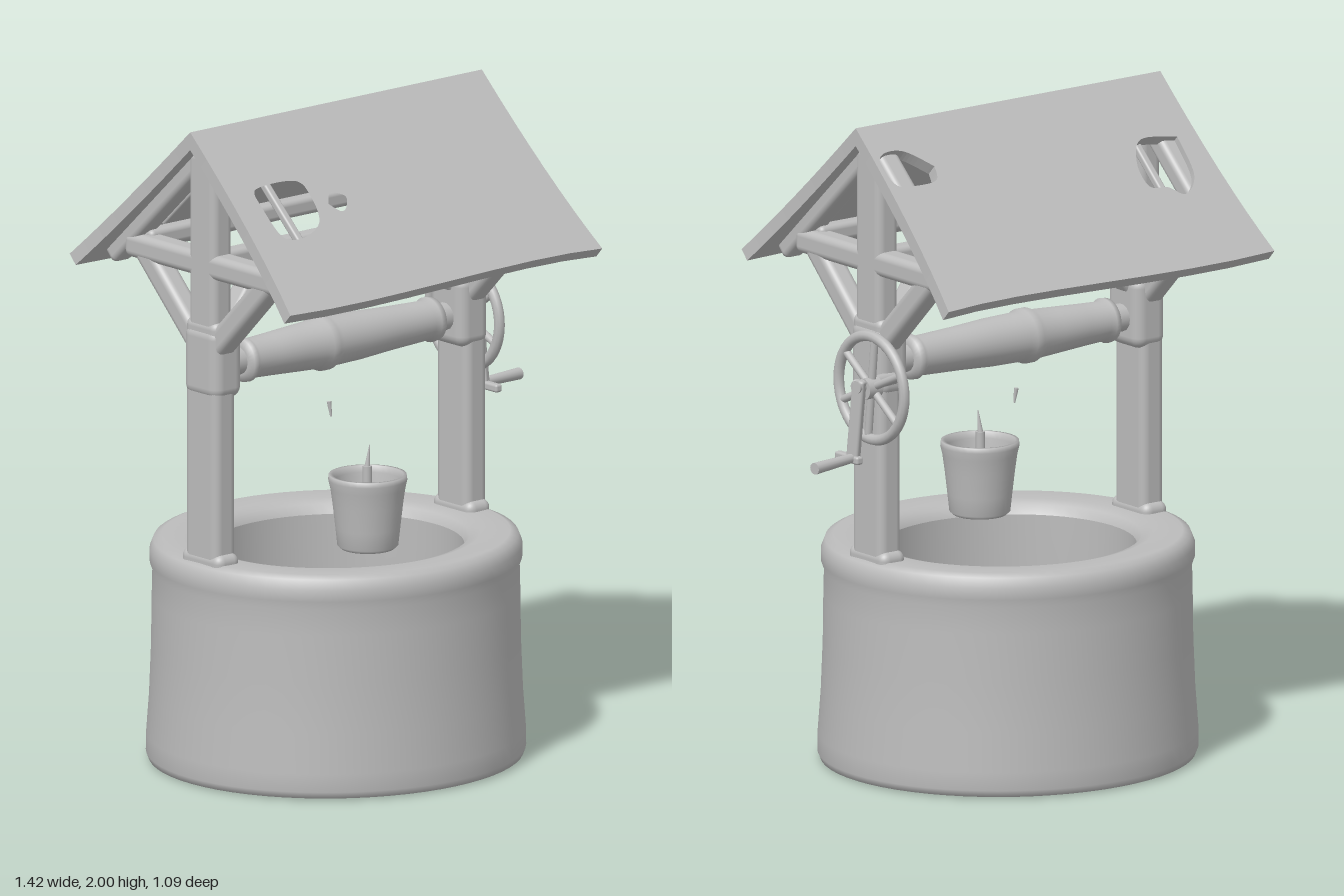
import * as THREE from 'three';
import { RoundedBoxGeometry } from 'three/addons/geometries/RoundedBoxGeometry.js';

export function createModel() {
  const model = new THREE.Group();
  const stone = new THREE.MeshStandardMaterial({ color: 0xbcbcbc });
  stone.name = 'plain grey';
  const V = (x, y, z) => new THREE.Vector3(x, y, z);
  const UP = V(0, 1, 0);

  function add(name, geometry, parent = model) {
    const mesh = new THREE.Mesh(geometry, stone);
    mesh.name = name;
    parent.add(mesh);
    return mesh;
  }
  // Place a y-aligned piece between two points
  function span(mesh, a, b) {
    mesh.position.copy(a).lerp(b, 0.5);
    mesh.quaternion.setFromUnitVectors(UP, b.clone().sub(a).normalize());
    return mesh;
  }
  const beam = (name, a, b, w, d, parent) =>
    span(add(name, new RoundedBoxGeometry(w, a.distanceTo(b), d, 3, Math.min(w, d) * 0.3), parent), a, b);
  const rod = (name, a, b, r, parent, r2 = r) =>
    span(add(name, new THREE.CylinderGeometry(r2, r, a.distanceTo(b), 14), parent), a, b);
  // Smooth turned piece from a few [radius, height] points
  function turned(name, points, segments = 48) {
    return add(name, new THREE.LatheGeometry(points.map(([r, y]) => new THREE.Vector2(r, y)), segments));
  }

  // Well wall: an open stone ring with a soft lip
  const wall = turned('wellWall', [
    [0.39, 0.64], [0.39, 0.02], [0.4, 0.004], [0.42, 0], [0.55, 0], [0.57, 0.005], [0.578, 0.025], [0.577, 0.08],
    [0.568, 0.2], [0.562, 0.35], [0.56, 0.5], [0.558, 0.58], [0.567, 0.605], [0.567, 0.64],
    [0.555, 0.67], [0.53, 0.68], [0.44, 0.678], [0.405, 0.668], [0.39, 0.64],
  ], 64);
  wall.position.x = -0.095;
  wall.scale.z = 0.945;

  // Roof: two slabs with ragged holes, outlines given as [x, distance from ridge in z]
  const RIDGE = 2, RUN = 0.734, DROP = 0.679, LENGTH = 0.677, THICK = 0.04;
  const slopes = [
    { side: 1, holes: [
      [[-0.58, 0.21], [-0.56, 0.172], [-0.41, 0.172], [-0.385, 0.215], [-0.41, 0.285], [-0.5, 0.315], [-0.57, 0.3]],
      [[-0.34, 0.245], [-0.31, 0.22], [-0.265, 0.235], [-0.28, 0.26], [-0.31, 0.27]],
    ] },
    { side: -1, holes: [
      [[-0.6, 0.17], [-0.585, 0.27], [-0.52, 0.315], [-0.47, 0.29], [-0.41, 0.28], [-0.41, 0.22], [-0.47, 0.16]],
      [[0.285, 0.13], [0.305, 0.165], [0.38, 0.17], [0.45, 0.16], [0.465, 0.1], [0.43, 0.075], [0.36, 0.08]],
    ] },
  ];
  const roof = new THREE.Group();
  roof.name = 'roof';
  model.add(roof);
  for (const { side, holes } of slopes) {
    const shape = new THREE.Shape();
    shape.moveTo(-0.67 * side, 0);
    shape.lineTo(0.48 * side, 0);
    shape.quadraticCurveTo(0.478 * side, -LENGTH * 0.6, 0.52 * side, -LENGTH);
    shape.bezierCurveTo(0.2 * side, -LENGTH + 0.03, -0.3 * side, -LENGTH - 0.025, -0.71 * side, -LENGTH);
    shape.quadraticCurveTo(-0.668 * side, -LENGTH * 0.6, -0.67 * side, 0);
    for (const outline of holes) {
      const pts = outline.map(([x, z]) => new THREE.Vector2(x * side, -z / RUN));
      const hole = new THREE.Path();
      hole.moveTo(pts[0].x, pts[0].y);
      hole.splineThru([...pts.slice(1), pts[0]]);
      shape.holes.push(hole);
    }
    const slab = new THREE.ExtrudeGeometry(shape, { depth: THICK, bevelEnabled: false, curveSegments: 8 });
    slab.translate(0, 0, -THICK);
    slab.applyMatrix4(new THREE.Matrix4().makeBasis(V(1, 0, 0), V(0, DROP, -RUN), V(0, RUN, DROP)));
    if (side < 0) slab.rotateY(Math.PI);
    slab.translate(0, RIDGE, 0);
    add(side > 0 ? 'frontRoofSlope' : 'backRoofSlope', slab, roof);
  }

  // Timber frames: post, tie beam, braces and rafters at each end
  for (const [x, inward, label] of [[-0.59, 1, 'right'], [0.4, -1, 'left']]) {
    const frame = new THREE.Group();
    frame.name = label + 'Frame';
    model.add(frame);
    beam('post', V(x, 0.6, 0), V(x, 1.42, 0), 0.085, 0.145, frame);
    beam('postFoot', V(x, 0.64, 0), V(x, 0.71, 0), 0.09, 0.18, frame);
    beam('kingPost', V(x, 1.35, 0), V(x, 1.93, 0), 0.08, 0.12, frame);
    beam('axleBlock', V(x + inward * 0.01, 1.18, 0), V(x + inward * 0.01, 1.4, 0), 0.115, 0.155, frame);
    beam('tieBeam', V(x, 1.585, -0.35), V(x, 1.585, 0.35), 0.08, 0.075, frame);
    beam('innerBrace', V(x + inward * 0.02, 1.33, 0), V(x + inward * 0.21, 1.59, 0), 0.05, 0.07, frame);
    for (const s of [-1, 1]) {
      beam('sideBrace', V(x, 1.33, s * 0.03), V(x, 1.6, s * 0.3), 0.075, 0.075, frame);
      beam('rafter', V(x, 1.92, s * 0.01), V(x, 1.535, s * 0.425), 0.075, 0.065, frame);
    }
  }

  // Long roof timbers and the slim rafters seen through the holes
  beam('middleBeam', V(-0.6, 1.59, 0), V(0.41, 1.59, 0), 0.06, 0.06);
  for (const s of [-1, 1]) {
    beam('purlin', V(-0.6, 1.61, s * 0.28), V(0.41, 1.61, s * 0.28), 0.055, 0.055);
    beam('slimRafter', V(-0.48, 1.9, s * 0.045), V(-0.48, 1.63, s * 0.335), 0.025, 0.025);
  }

  // Winding drum on its axle
  const drum = turned('windingDrum', [
    [0, -0.48], [0.045, -0.48], [0.066, -0.472], [0.068, -0.455], [0.06, -0.44], [0.064, -0.36], [0.07, -0.26],
    [0.074, -0.19], [0.083, -0.17], [0.083, -0.145], [0.075, -0.125], [0.073, -0.02], [0.066, 0.1], [0.06, 0.25],
    [0.068, 0.265], [0.066, 0.285], [0.045, 0.293], [0, 0.293],
  ], 32);
  drum.geometry.rotateZ(-Math.PI / 2);
  drum.position.y = 1.27;
  rod('axle', V(-0.57, 1.27, 0), V(0.38, 1.27, 0), 0.042);

  // Spoked wheel with crank
  const wheel = new THREE.Group();
  wheel.name = 'crankWheel';
  wheel.position.set(0.495, 1.228, -0.095);
  model.add(wheel);
  const rim = add('wheelRim', new THREE.TorusGeometry(0.157, 0.0165, 10, 48), wheel);
  rim.rotation.y = Math.PI / 2;
  for (let i = 0; i < 6; i++) {
    const a = (i + 0.5) * Math.PI / 3 + 0.1;
    rod('spoke', V(0, 0, 0), V(0, Math.sin(a) * 0.155, Math.cos(a) * 0.155), 0.012, wheel);
  }
  rod('wheelHub', V(-0.02, 0, 0), V(0.03, 0, 0), 0.032, wheel);
  rod('wheelAxle', V(-0.12, 0.01, 0.03), V(0.06, 0.01, 0), 0.02, wheel);
  beam('crankArm', V(0.045, 0.03, 0), V(0.05, -0.22, 0.025), 0.026, 0.04, wheel);
  rod('crankHandle', V(0.035, -0.21, 0.025), V(0.215, -0.215, 0), 0.014, wheel, 0.018);
  beam('crankFoot', V(0.05, -0.215, -0.01), V(0.05, -0.215, 0.1), 0.025, 0.025, wheel);

  // Hanging bucket with the broken rope
  const bucket = turned('bucket', [
    [0, 0.685], [0.08, 0.685], [0.091, 0.695], [0.097, 0.75], [0.105, 0.82], [0.112, 0.87], [0.118, 0.895],
    [0.116, 0.91], [0.106, 0.91], [0.1, 0.89], [0.092, 0.82], [0.085, 0.76], [0, 0.755],
  ], 32);
  bucket.position.set(-0.158, 0, 0.215);
  rod('ropeStub', V(-0.16, 0.75, 0.215), V(-0.16, 0.935, 0.215), 0.014);
  rod('ropeEnd', V(-0.16, 0.93, 0.215), V(-0.155, 1.0, 0.22), 0.009, model, 0.001);
  rod('ropeScrap', V(-0.158, 1.055, 0.05), V(-0.162, 1.1, 0.045), 0.003, model, 0.007);
  return model;
}
